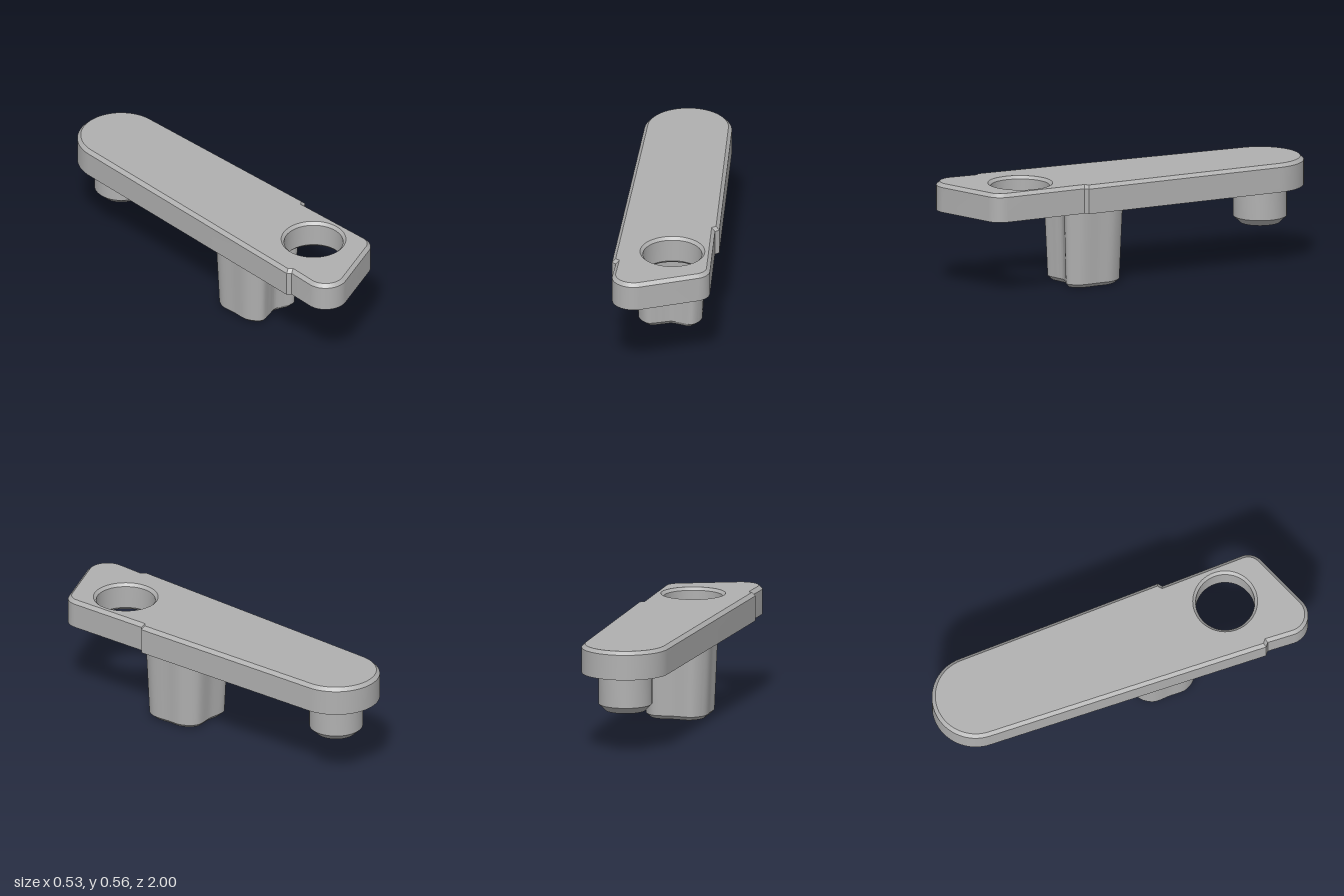
import * as THREE from 'three';
import { toCreasedNormals } from 'three/addons/utils/BufferGeometryUtils.js';

const V = (x, z) => new THREE.Vector2(x, -z); // plan point, counterclockwise from above

// Points along an arc in plan
function arc(cx, cz, r, a0, a1, n) {
  return Array.from({ length: n + 1 }, (_, i) => {
    const a = a0 + ((a1 - a0) * i) / n;
    return V(cx + r * Math.cos(a), cz + r * Math.sin(a));
  });
}

// Mitred inset of a closed counterclockwise loop
function inset(loop, d) {
  const n = loop.length;
  const normal = (a, b) => new THREE.Vector2(a.y - b.y, b.x - a.x).normalize();
  return loop.map((p, i) => {
    const n0 = normal(loop[(i + n - 1) % n], p);
    const n1 = normal(p, loop[(i + 1) % n]);
    return p.clone().addScaledVector(n0.clone().add(n1), d / (1 + n0.dot(n1)));
  });
}

// Solid from stacked loops [points, y], bottom to top, with optional hole loops
function stack(loops, holeLoops = []) {
  const pos = [];
  const put = (p, y) => pos.push(p.x, y, -p.y);
  for (const set of [loops, holeLoops]) {
    for (let k = 0; k + 1 < set.length; k++) {
      const [a, ya] = set[k], [b, yb] = set[k + 1];
      a.forEach((p, i) => {
        const j = (i + 1) % a.length;
        put(p, ya); put(a[j], ya); put(b[j], yb);
        put(p, ya); put(b[j], yb); put(b[i], yb);
      });
    }
  }
  for (const top of [false, true]) {
    const k = top ? -1 : 0;
    const [outer, y] = loops.at(k);
    const holes = holeLoops.length ? [holeLoops.at(k)[0]] : [];
    const all = outer.concat(...holes);
    for (const f of THREE.ShapeUtils.triangulateShape(outer, holes)) {
      for (const i of top ? f : [...f].reverse()) put(all[i], y);
    }
  }
  const geo = new THREE.BufferGeometry();
  geo.setAttribute('position', new THREE.Float32BufferAttribute(pos, 3));
  return toCreasedNormals(geo, 0.5);
}

export function createModel() {
  const group = new THREE.Group();
  const grey = new THREE.MeshStandardMaterial({ color: 0xb0b0b0 });
  grey.name = 'plain grey';
  const add = (name, geo) => {
    const mesh = new THREE.Mesh(geo, grey);
    mesh.name = name;
    group.add(mesh);
    return mesh;
  };

  // Arm: tapered plate with stepped sides, chamfered top and a through hole
  const outline = [
    ...arc(-0.145, 0.888, 0.112, Math.PI, 1.265, 20),
    ...arc(0.155, 0.795, 0.09, 1.265, 0, 16),
    V(0.245, 0.352), V(0.267, 0.336),
    ...arc(0.04, -0.773, 0.227, 0, -Math.PI + 0.054, 40),
    V(-0.267, 0.725), V(-0.247, 0.742),
  ];
  const ring = (r) => arc(0.04, 0.62, r, 0, Math.PI * 2, 64).slice(0, -1);
  add('arm', stack(
    [[outline, 0.415], [outline, 0.547], [inset(outline, 0.018), 0.565]],
    [[ring(0.168), 0.415], [ring(0.153), 0.43], [ring(0.153), 0.55], [ring(0.168), 0.565]],
  ));

  // Key post: tapered rounded block, hollowed on its front side
  const section = new THREE.CatmullRomCurve3([
    [-1, 0], [-0.99, 0.6], [-0.7, 0.98], [-0.3, 0.9], [0.05, 0.8], [0.35, 0.88],
    [0.72, 0.99], [0.99, 0.65], [1, 0], [0.97, -0.55], [0.65, -0.95], [0, -0.95],
    [-0.65, -0.99], [-0.98, -0.6],
  ].map(([x, z]) => new THREE.Vector3(x, 0, z)), true).getPoints(112).slice(0, -1);
  const postLoop = (hx, hz) => section.map((p) => V(0.011 + p.x * hx, 0.233 + p.z * hz));
  add('keyPost', stack([
    [postLoop(0.142, 0.138), 0],
    [postLoop(0.163, 0.158), 0.02],
    [postLoop(0.179, 0.173), 0.416],
  ]));

  // Round pin under the far end
  const pinProfile = [[0, 0.215], [0.103, 0.215], [0.139, 0.25], [0.139, 0.416]]
    .map(([r, y]) => new THREE.Vector2(r, y));
  const pin = add('roundPin', toCreasedNormals(new THREE.LatheGeometry(pinProfile, 48), 0.5));
  pin.position.set(0.04, 0, -0.773);

  return group;
}
